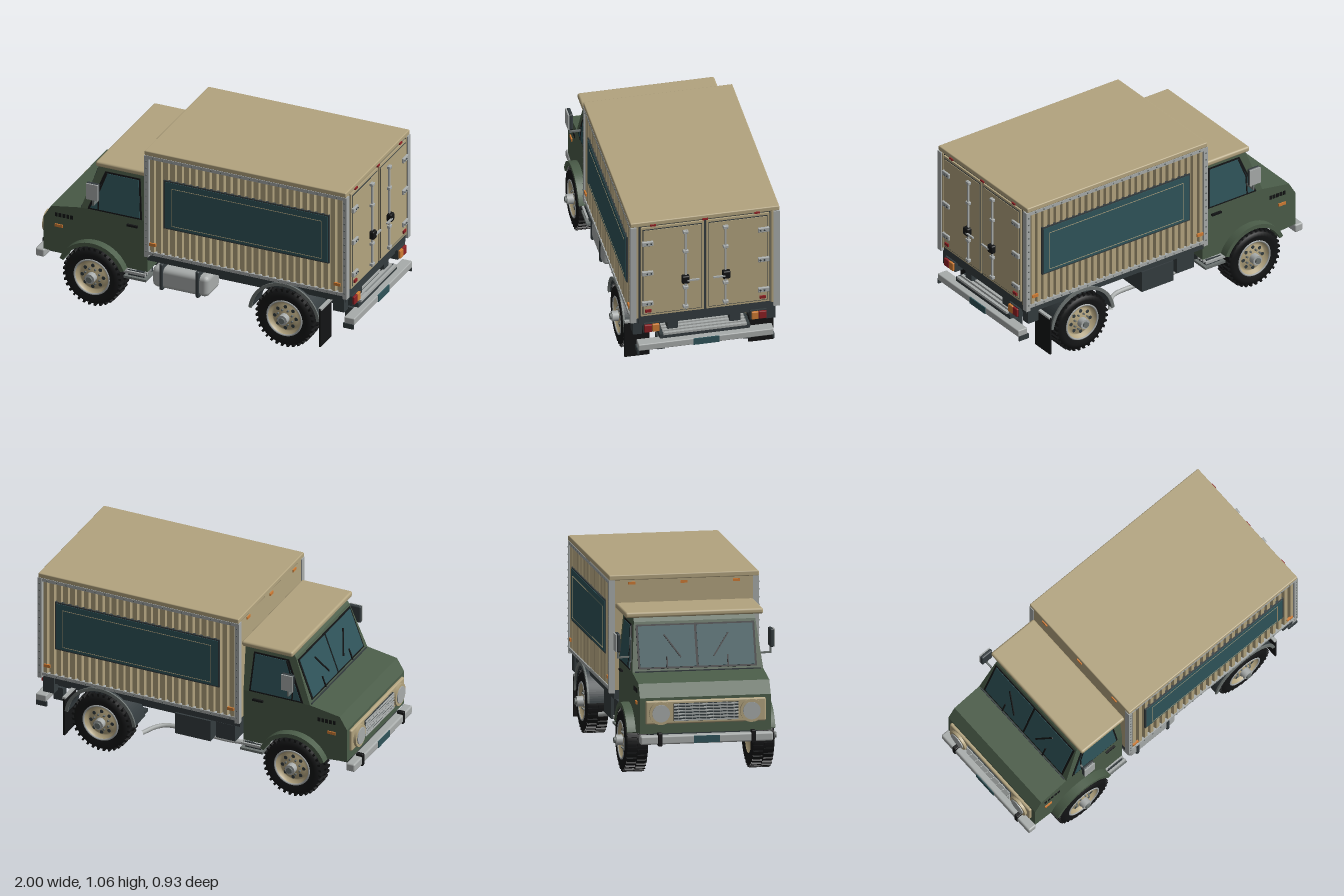
import * as THREE from 'three';
import { RoundedBoxGeometry } from 'three/addons/geometries/RoundedBoxGeometry.js';

export function createModel() {
  const root = new THREE.Group();
  root.name = 'boxTruck';
  const mat = (name, color) => {
    const m = new THREE.MeshStandardMaterial({ color });
    m.name = name;
    return m;
  };
  const tan = mat('tan', 0xb3a47f), green = mat('green', 0x4b5d49), grey = mat('lightGrey', 0xa8acab),
    dark = mat('darkGrey', 0x343c3f), black = mat('black', 0x131415), glass = mat('teal', 0x2f545a),
    orange = mat('orange', 0xd07c34), red = mat('red', 0x8e2024), steel = mat('midGrey', 0x6c7371);

  const add = (name, m, geo, parent = root) => {
    const mesh = new THREE.Mesh(geo, m);
    mesh.name = name;
    parent.add(mesh);
    return mesh;
  };
  // Box from opposite corners; radius > 0 rounds it
  const box = (name, m, x0, x1, y0, y1, z0, z1, r = 0, parent = root) => {
    const s = [Math.abs(x1 - x0), Math.abs(y1 - y0), Math.abs(z1 - z0)];
    const mesh = add(name, m, r ? new RoundedBoxGeometry(...s, 2, r) : new THREE.BoxGeometry(...s), parent);
    mesh.position.set((x0 + x1) / 2, (y0 + y1) / 2, (z0 + z1) / 2);
    return mesh;
  };
  // Cylinder along 'x' or 'z'
  const cyl = (name, m, axis, r, len, x, y, z, parent = root, seg = 24) => {
    const g = new THREE.CylinderGeometry(r, r, len, seg);
    if (axis === 'x') g.rotateZ(Math.PI / 2); else g.rotateX(Math.PI / 2);
    const mesh = add(name, m, g, parent);
    mesh.position.set(x, y, z);
    return mesh;
  };
  const poly = (pts) => new THREE.Shape(pts.map(([x, y]) => new THREE.Vector2(x, y)));
  // Side outline spanning the truck's width, where half(y) gives the half width
  const across = (name, m, shape, half) => {
    const g = new THREE.ExtrudeGeometry(shape, { depth: 2, bevelEnabled: false, curveSegments: 24 }).toNonIndexed();
    g.translate(0, 0, -1);
    const p = g.attributes.position;
    for (let i = 0; i < p.count; i++) p.setZ(i, Math.sign(p.getZ(i)) * half(p.getY(i)));
    g.computeVertexNormals();
    return add(name, m, g);
  };
  const sides = [1, -1];
  const FX = -0.63, RX = 0.565, WY = 0.18;

  // Cab: lower body with wheel arches, tapered upper body, roof
  const lower = new THREE.Shape();
  lower.moveTo(-0.95, 0.27);
  lower.lineTo(-0.95, 0.475);
  lower.lineTo(-0.905, 0.55);
  lower.lineTo(-0.72, 0.58);
  lower.lineTo(-0.305, 0.58);
  lower.lineTo(-0.305, 0.26);
  const a = Math.asin(0.08 / 0.205);
  lower.absarc(FX, WY, 0.205, a, Math.PI - a, false);
  across('cabLower', green, lower, () => 0.375);
  const taper = (y) => 0.375 - (y - 0.58) * 0.1;
  across('cabUpper', green, poly([[-0.72, 0.58], [-0.62, 0.85], [-0.6, 0.875], [-0.305, 0.875], [-0.305, 0.58]]), taper);
  box('cabRoof', tan, -0.62, -0.302, 0.872, 0.905, -0.395, 0.395, 0.012);
  box('bonnetSeam', dark, -0.725, -0.715, 0.575, 0.585, -0.36, 0.36);

  // Side windows
  across('sideWindowSeal', black, poly([[-0.678, 0.583], [-0.578, 0.83], [-0.36, 0.83], [-0.34, 0.583]]), (y) => taper(y) + 0.003);
  across('sideWindow', glass, poly([[-0.66, 0.593], [-0.568, 0.82], [-0.37, 0.82], [-0.352, 0.593]]), (y) => taper(y) + 0.006);
  across('windowBar', black, poly([[-0.614, 0.59], [-0.614, 0.7], [-0.57, 0.82], [-0.562, 0.82], [-0.606, 0.7], [-0.606, 0.59]]), (y) => taper(y) + 0.009);

  // Windscreen
  const screen = new THREE.Group();
  screen.name = 'windscreen';
  screen.position.set(-0.67, 0.715, 0);
  screen.rotation.z = -Math.atan2(0.1, 0.27);
  root.add(screen);
  box('screenSeal', black, -0.004, 0.002, -0.128, 0.128, -0.34, 0.34, 0, screen);
  for (const s of sides) {
    box('screenPane', glass, -0.007, 0, -0.118, 0.118, s * 0.007, s * 0.328, 0, screen);
    const w = box('wiper', black, -0.016, -0.01, -0.08, 0.08, s * 0.135, s * 0.143, 0, screen);
    w.rotation.x = s * 0.6;
    box('wiperArm', black, -0.014, -0.008, -0.128, -0.06, s * 0.17, s * 0.178, 0, screen);
  }

  // Grille, lamps and front bumper
  box('grillePanel', tan, -0.968, -0.945, 0.325, 0.46, -0.345, 0.345, 0.01);
  box('grilleRecess', dark, -0.974, -0.966, 0.342, 0.443, -0.185, 0.185);
  for (let i = 0; i < 6; i++) box('grilleSlat', grey, -0.98, -0.972, 0.344 + i * 0.0175, 0.352 + i * 0.0175, -0.185, 0.185);
  for (let i = -4; i <= 4; i++) box('grilleBar', grey, -0.978, -0.97, 0.342, 0.443, i * 0.04 - 0.002, i * 0.04 + 0.002);
  box('frontBumper', grey, -1.0, -0.945, 0.215, 0.265, -0.38, 0.38, 0.01);
  box('frontPlate', glass, -1.004, -0.998, 0.22, 0.26, -0.075, 0.075);
  box('frontApron', dark, -0.945, -0.88, 0.22, 0.275, -0.3, 0.3);
  for (const s of sides) {
    cyl('lampSurround', tan, 'x', 0.066, 0.03, -0.968, 0.39, s * 0.26);
    cyl('headlamp', grey, 'x', 0.05, 0.01, -0.984, 0.39, s * 0.26);
    box('bumperGuard', black, -1.003, -0.96, 0.205, 0.28, s * 0.255, s * 0.28, 0.005);
    box('sideIndicator', orange, -0.88, -0.83, 0.428, 0.445, s * 0.37, s * 0.382);
    for (let i = 0; i < 5; i++) box('wingVent', black, -0.88 + i * 0.024, -0.864 + i * 0.024, 0.492, 0.516, s * 0.37, s * 0.378);
    box('doorHandle', black, -0.43, -0.365, 0.53, 0.542, s * 0.37, s * 0.388);
    // Mirrors
    box('mirror', dark, -0.652, -0.575, 0.685, 0.79, s * 0.428, s * 0.45, 0.008);
    box('mirrorCap', grey, -0.65, -0.577, 0.688, 0.787, s * 0.449, s * 0.457);
    box('mirrorArm', steel, -0.618, -0.608, 0.645, 0.655, s * 0.36, s * 0.44);
    box('mirrorStay', steel, -0.618, -0.608, 0.645, 0.7, s * 0.432, s * 0.442);
    // Cab steps
    box('cabStep', steel, -0.44, -0.3, 0.212, 0.226, s * 0.3, s * 0.41);
    for (let i = 0; i < 4; i++) box('stepTread', grey, -0.44, -0.305, 0.245, 0.26, s * (0.325 + i * 0.024), s * (0.337 + i * 0.024));
    box('stepBracket', dark, -0.42, -0.32, 0.21, 0.26, s * 0.27, s * 0.39);
  }

  // Mudguards
  const guard = (name, m, cx, r0, r1, a0, z0, z1) => {
    const sh = new THREE.Shape();
    sh.absarc(0, 0, r1, a0, Math.PI - a0, false);
    sh.absarc(0, 0, r0, Math.PI - a0, a0, true);
    const g = new THREE.ExtrudeGeometry(sh, { depth: Math.abs(z1 - z0), bevelEnabled: false, curveSegments: 24 });
    add(name, m, g).position.set(cx, WY, Math.min(z0, z1));
  };
  for (const s of sides) {
    guard('frontFlare', green, FX, 0.19, 0.214, 0.38, s * 0.34, s * 0.425);
    guard('rearMudguard', dark, RX, 0.205, 0.216, 0.12, s * 0.285, s * 0.42);
    guard('mudguardLip', steel, RX, 0.203, 0.222, 0.12, s * 0.42, s * 0.43);
    box('mudFlap', black, 0.784, 0.794, 0.05, 0.29, s * 0.285, s * 0.43);
    box('flapBracket', grey, 0.78, 0.8, 0.282, 0.294, s * 0.28, s * 0.43);
  }

  // Wheels
  const tyreProfile = [[0.1, -0.058], [0.14, -0.068], [0.162, -0.062], [0.17, -0.05], [0.17, 0.05], [0.162, 0.062], [0.14, 0.068], [0.1, 0.058]];
  const rimProfile = [[0, -0.03], [0.085, -0.03], [0.102, -0.058], [0.108, -0.058], [0.108, 0.058], [0.1, 0.06], [0.092, 0.03], [0.075, 0.045], [0.045, 0.045], [0.035, 0.055], [0, 0.055]];
  const lathe = (pts, seg) => new THREE.LatheGeometry(pts.map(([r, h]) => new THREE.Vector2(r, h)), seg).rotateX(Math.PI / 2);
  for (const cx of [FX, RX]) for (const s of sides) {
    const w = new THREE.Group();
    w.name = cx < 0 ? 'frontWheel' : 'rearWheel';
    w.position.set(cx, WY, s * 0.362);
    if (s < 0) w.rotation.y = Math.PI;
    root.add(w);
    add('tyre', black, lathe(tyreProfile, 40), w);
    add('rim', tan, lathe(rimProfile, 40), w);
    add('rimRing', grey, new THREE.TorusGeometry(0.107, 0.006, 6, 40), w).position.z = 0.06;
    cyl('hub', grey, 'z', 0.03, 0.045, 0, 0, 0.07, w);
    cyl('hubCap', steel, 'z', 0.018, 0.02, 0, 0, 0.093, w, 12);
    for (let i = 0; i < 8; i++) {
      const t = (i * Math.PI) / 4, c = Math.cos(t), n = Math.sin(t);
      cyl('rimHole', dark, 'z', 0.011, 0.004, c * 0.066, n * 0.066, 0.045, w, 12);
      cyl('wheelNut', steel, 'z', 0.006, 0.016, Math.cos(t + 0.39) * 0.047, Math.sin(t + 0.39) * 0.047, 0.05, w, 6);
    }
    for (let i = 0; i < 64; i++) {
      const t = (i * Math.PI) / 32, z = i % 2 ? 0.03 : -0.03;
      const lug = add('treadLug', black, new THREE.BoxGeometry(0.018, 0.013, 0.056), w);
      lug.position.set(Math.cos(t) * 0.172, Math.sin(t) * 0.172, z);
      lug.rotation.z = t;
    }
  }

  // Chassis, axles and drivetrain
  for (const s of sides) box('chassisRail', dark, -0.9, 0.92, 0.215, 0.285, s * 0.15, s * 0.2);
  for (const x of [-0.3, 0, 0.3, 0.72, 0.89]) box('crossMember', dark, x - 0.02, x + 0.02, 0.225, 0.28, -0.2, 0.2);
  for (const x of [FX, RX]) {
    cyl('axle', dark, 'z', 0.03, 0.62, x, WY, 0);
    for (const s of sides) box('leafSpring', dark, x - 0.2, x + 0.2, 0.2, 0.22, s * 0.22, s * 0.26);
  }
  box('differential', dark, RX - 0.06, RX + 0.06, 0.13, 0.24, -0.055, 0.055, 0.025);
  box('engineBlock', dark, -0.85, -0.42, 0.2, 0.4, -0.14, 0.14);
  box('gearbox', steel, -0.42, -0.25, 0.19, 0.28, -0.06, 0.06, 0.02);
  cyl('driveShaft', steel, 'x', 0.016, 0.8, 0.14, 0.21, 0);
  const pipe = [[-0.42, 0.17, -0.2], [-0.2, 0.165, -0.26], [0.22, 0.165, -0.26], [0.28, 0.16, -0.3], [0.33, 0.145, -0.37]];
  add('exhaust', grey, new THREE.TubeGeometry(new THREE.CatmullRomCurve3(pipe.map((p) => new THREE.Vector3(...p))), 32, 0.013, 10));
  box('fuelTank', grey, -0.27, 0.08, 0.185, 0.315, 0.23, 0.4, 0.03);
  for (const x of [-0.21, 0.015]) box('tankStrap', dark, x - 0.012, x + 0.012, 0.178, 0.345, 0.225, 0.406, 0.01);
  box('batteryBox', dark, -0.1, 0.12, 0.2, 0.33, -0.38, -0.2);
  box('airTank', dark, -0.25, -0.13, 0.23, 0.33, -0.37, -0.2);

  // Cargo box: core, corrugated sides, roof and frame
  box('boxSubframe', dark, -0.295, 0.935, 0.35, 0.405, -0.4, 0.4);
  for (const s of sides) box('longitudinalBeam', dark, -0.28, 0.92, 0.285, 0.35, s * 0.15, s * 0.21);
  box('boxCore', tan, -0.297, 0.935, 0.402, 1.04, -0.408, 0.408);
  box('boxRoof', tan, -0.3, 0.95, 1.03, 1.06, -0.43, 0.43, 0.006);
  const wave = [[-0.278, 0.4]], N = 28, step = 1.21 / N;
  for (let i = 0; i < N; i++) {
    const x = -0.278 + i * step;
    wave.push([x + step * 0.05, 0.408], [x + step * 0.2, 0.424], [x + step * 0.7, 0.424], [x + step * 0.85, 0.408]);
  }
  wave.push([0.932, 0.4]);
  const ribs = new THREE.ExtrudeGeometry(poly(wave), { depth: 0.6, bevelEnabled: false }).rotateX(-Math.PI / 2);
  for (const s of sides) {
    const m = add('corrugatedSide', tan, ribs);
    m.position.set(s > 0 ? 0 : 0.654, 0.415, 0);
    m.rotation.y = s > 0 ? Math.PI : 0;
    if (s > 0) m.position.x = 0.654;
    else m.position.x = 0;
    // Frame posts, rails and rivets
    for (const [x0, x1] of [[-0.302, -0.275], [0.928, 0.955]]) {
      box('cornerPost', grey, x0, x1, 0.385, 1.03, s * 0.395, s * 0.43);
      for (let i = 0; i < 14; i++) box('postRivet', steel, x0 + 0.01, x0 + 0.017, 0.42 + i * 0.044, 0.427 + i * 0.044, s * 0.43, s * 0.434);
    }
    for (const y of [0.402, 1.01]) {
      box('sideRail', grey, -0.28, 0.93, y, y + 0.02, s * 0.4, s * 0.429);
      for (let i = 0; i < 20; i++) box('railRivet', steel, -0.25 + i * 0.06, -0.243 + i * 0.06, y + 0.007, y + 0.014, s * 0.429, s * 0.433);
    }
    // Side panel with its thin inset outline
    box('panelFrame', dark, -0.18, 0.846, 0.592, 0.898, s * 0.415, s * 0.43);
    box('sidePanel', glass, -0.172, 0.838, 0.6, 0.89, s * 0.425, s * 0.433);
    for (const y of [0.615, 0.852]) box('panelLine', tan, -0.13, 0.8, y, y + 0.003, s * 0.43, s * 0.4345);
    for (const x of [-0.13, 0.797]) box('panelLine', tan, x, x + 0.003, 0.615, 0.855, s * 0.43, s * 0.4345);
    for (const x of [-0.25, 0.895]) box('sideMarker', orange, x - 0.02, x + 0.02, 0.462, 0.48, s * 0.42, s * 0.432);
  }
  for (const z of [-0.3, 0, 0.3]) {
    box('frontMarker', orange, -0.304, -0.296, 1.005, 1.02, z - 0.02, z + 0.02);
    box('rearMarker', red, 0.945, 0.957, 1.03, 1.04, z - 0.016, z + 0.016);
  }

  // Rear doors
  box('doorFrame', dark, 0.93, 0.945, 0.37, 1.045, -0.38, 0.38);
  for (const s of sides) {
    box('rearDoor', tan, 0.94, 0.955, 0.425, 1.026, s * 0.008, s * 0.37);
    box('doorSeam', dark, 0.95, 0.957, 0.437, 1.013, s * 0.018, s * 0.36);
    box('doorPanel', tan, 0.95, 0.96, 0.442, 1.008, s * 0.022, s * 0.356);
    box('frameStrip', tan, 0.935, 0.95, 0.41, 1.03, s * 0.383, s * 0.397);
    box('lockRod', grey, 0.963, 0.973, 0.45, 0.985, s * 0.11, s * 0.12);
    for (const y of [0.468, 0.598, 0.843, 0.975]) box('rodBracket', grey, 0.955, 0.979, y - 0.009, y + 0.009, s * 0.1, s * 0.131, 0.003);
    box('lockCase', black, 0.958, 0.99, 0.633, 0.683, s * 0.095, s * 0.14, 0.008);
    box('lockLever', grey, 0.982, 0.992, 0.65, 0.659, s * 0.04, s * 0.11);
    for (const y of [0.515, 0.72, 0.922]) {
      box('hinge', grey, 0.955, 0.972, y - 0.015, y + 0.015, s * 0.302, s * 0.368, 0.004);
      for (const z of [0.315, 0.338]) cyl('hingeBolt', dark, 'x', 0.005, 0.004, 0.973, y, s * z, root, 8);
    }
    box('reflector', red, 0.958, 0.968, 0.455, 0.472, s * 0.312, s * 0.347);
    // Tail lamps and rear supports
    box('lampHousing', dark, 0.9, 0.955, 0.312, 0.372, s * 0.26, s * 0.355);
    box('tailLamp', red, 0.95, 0.968, 0.318, 0.367, s * 0.308, s * 0.352, 0.004);
    box('turnLamp', orange, 0.95, 0.968, 0.318, 0.367, s * 0.266, s * 0.306, 0.004);
    box('lampPost', dark, 0.86, 0.93, 0.29, 0.4, s * 0.36, s * 0.41);
    box('bumperBracket', dark, 0.87, 0.93, 0.17, 0.25, s * 0.225, s * 0.27);
    box('bumperEnd', dark, 0.915, 0.98, 0.185, 0.215, s * 0.385, s * 0.395);
  }

  // Rear step and bumper
  for (let i = 0; i < 4; i++) box('rearStep', grey, 0.85 + i * 0.03, 0.868 + i * 0.03, 0.28, 0.294, -0.24, 0.24);
  box('stepSupport', dark, 0.84, 0.95, 0.255, 0.282, -0.26, 0.26);
  box('rearBumper', grey, 0.92, 0.985, 0.21, 0.252, -0.39, 0.39, 0.006);
  box('rearPlate', glass, 0.982, 0.989, 0.211, 0.251, -0.075, 0.075);
  return root;
}
